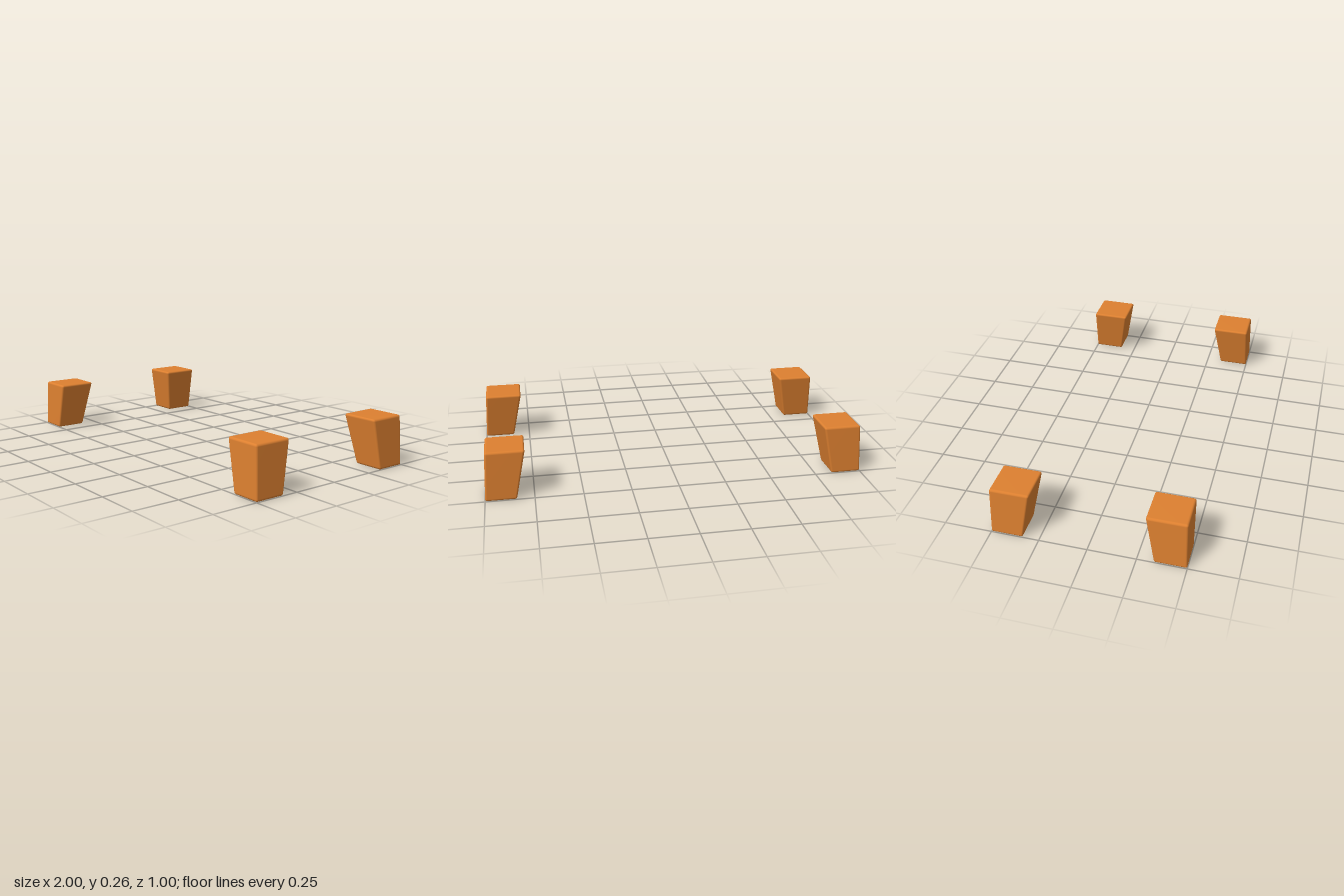
import * as THREE from 'three';
import { RoundedBoxGeometry } from 'three/addons/geometries/RoundedBoxGeometry.js';
import { mergeVertices } from 'three/addons/utils/BufferGeometryUtils.js';

const HEIGHT = 0.265;
// Inner and outer edges of a foot at the floor and at the top
const X = { bottom: [0.84, 1.0], top: [0.785, 0.985] };
const Z = { bottom: [0.335, 0.5], top: [0.288, 0.494] };

// Maps u in -0.5..0.5 across the tapered section at height fraction t
function place(edges, side, u, t) {
  const inner = THREE.MathUtils.lerp(edges.bottom[0], edges.top[0], t);
  const outer = THREE.MathUtils.lerp(edges.bottom[1], edges.top[1], t);
  return side * (inner + outer) / 2 + u * (outer - inner);
}

// Rounded block that tapers towards the floor and splays outwards
function footGeometry(sideX, sideZ) {
  const width = 0.2, depth = 0.206;
  const box = new RoundedBoxGeometry(width, HEIGHT, depth, 4, 0.012);
  box.deleteAttribute('normal');
  box.deleteAttribute('uv');
  const geometry = mergeVertices(box, 1e-5);
  const p = geometry.attributes.position;
  for (let i = 0; i < p.count; i++) {
    const t = p.getY(i) / HEIGHT + 0.5;
    p.setXYZ(i,
      place(X, sideX, p.getX(i) / width, t),
      t * HEIGHT,
      place(Z, sideZ, p.getZ(i) / depth, t));
  }
  geometry.computeVertexNormals();
  return geometry;
}

export function createModel() {
  const model = new THREE.Group();
  model.name = 'furnitureFeet';
  const wood = new THREE.MeshStandardMaterial({ color: 0xdd8030 });

  // One foot at each corner
  for (const [endName, sideZ] of [['front', 1], ['back', -1]]) {
    for (const [sideName, sideX] of [['Left', 1], ['Right', -1]]) {
      const foot = new THREE.Mesh(footGeometry(sideX, sideZ), wood);
      foot.name = `${endName}${sideName}Foot`;
      model.add(foot);
    }
  }
  return model;
}
